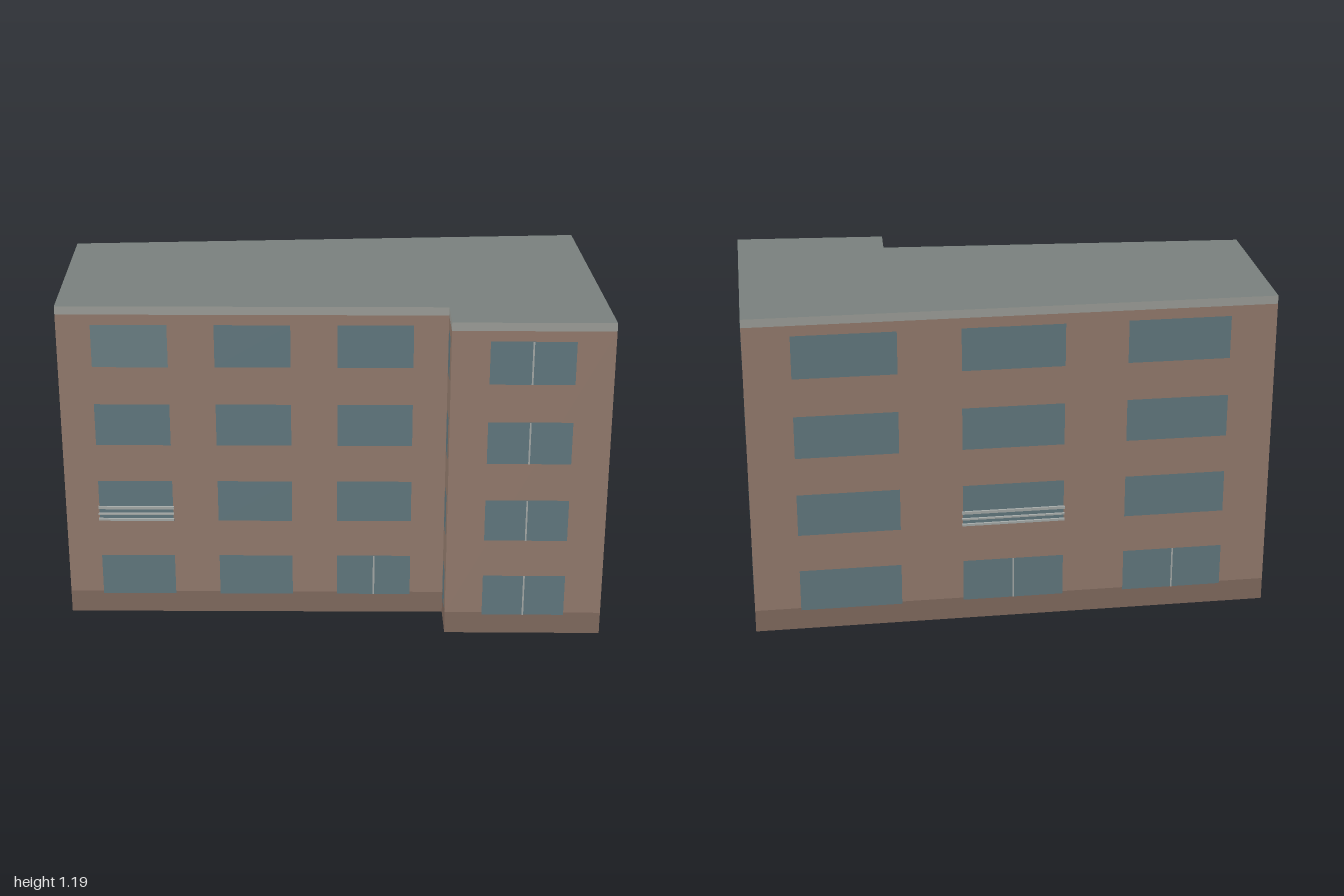
import * as THREE from 'three';

const mat = (color) => new THREE.MeshStandardMaterial({ color, side: THREE.DoubleSide });
const brick = mat(0x977e70), plinth = mat(0x846d61), coping = mat(0xa0a29c), roofing = mat(0x7b827f);
const glass = mat(0x647b82), paleGlass = mat(0x6d8287), metal = mat(0xa9aeac);

const HEIGHT = 1.19, BASE = 0.083, BAND = 1.16;
const FLOORS = 4, FLOOR_PITCH = 0.297, SILL = 0.075, WIN_H = 0.157;

// Footprint corners [x, z], counter-clockwise seen from above; each wall runs to the next corner.
// mullion(floor, column) says which windows have a centre bar, balcony is [floor, column].
const walls = [
  { name: 'frontWall', from: [-0.93, 0.465], columns: 3, mullion: (f, c) => f === 0 && c === 2, balcony: [1, 0], pale: [3, 0] },
  { name: 'recessWall', from: [0.425, 0.35], columns: 1, mullion: () => false },
  { name: 'frontWingWall', from: [0.44, 0.5], columns: 1, mullion: () => true },
  { name: 'rightWall', from: [0.995, 0.455], columns: 2, mullion: () => true },
  { name: 'backWall', from: [0.86, -0.507], columns: 3, mullion: (f, c) => f === 0 && c > 0, balcony: [1, 1] },
  { name: 'leftWall', from: [-1, -0.23], columns: 1, mullion: () => true },
];

// Upright panel in a wall's own frame: x along the wall, z outward
function panel(parent, name, material, width, y0, y1, x = 0, z = 0) {
  const mesh = new THREE.Mesh(new THREE.PlaneGeometry(width, y1 - y0), material);
  mesh.name = name;
  mesh.position.set(x, (y0 + y1) / 2, z);
  parent.add(mesh);
}

// Three slim rails across the lower part of a window
function balconyRails(parent, width, x, sill) {
  const rails = new THREE.Group();
  rails.name = 'balconyRails';
  for (const [dy, h] of [[0.006, 0.008], [0.028, 0.006], [0.053, 0.01]]) {
    const rail = new THREE.Mesh(new THREE.BoxGeometry(width, h, 0.008), metal);
    rail.name = 'rail';
    rail.position.set(x, sill + dy, 0.006);
    rails.add(rail);
  }
  parent.add(rails);
}

function buildWall(spec, to) {
  const [x0, z0] = spec.from, [x1, z1] = to;
  const length = Math.hypot(x1 - x0, z1 - z0);
  const wall = new THREE.Group();
  wall.name = spec.name;
  wall.position.set((x0 + x1) / 2, 0, (z0 + z1) / 2);
  wall.rotation.y = Math.atan2(z0 - z1, x1 - x0);

  // Plinth, brickwork and coping strip
  panel(wall, 'plinth', plinth, length, 0, BASE);
  panel(wall, 'brickwork', brick, length, BASE, BAND);
  panel(wall, 'coping', coping, length, BAND, HEIGHT);

  // Grid of windows
  const pitch = length / (spec.columns + 0.18), width = pitch * 0.62;
  const matches = (pair, f, c) => pair && pair[0] === f && pair[1] === c;
  for (let f = 0; f < FLOORS; f++) {
    const y = SILL + f * FLOOR_PITCH;
    for (let c = 0; c < spec.columns; c++) {
      const x = (c - (spec.columns - 1) / 2) * pitch;
      panel(wall, 'window', matches(spec.pale, f, c) ? paleGlass : glass, width, y, y + WIN_H, x, 0.002);
      if (spec.mullion(f, c)) panel(wall, 'mullion', metal, 0.006, y, y + WIN_H, x, 0.004);
      if (matches(spec.balcony, f, c)) balconyRails(wall, width + 0.006, x, y);
    }
  }
  return wall;
}

export function createModel() {
  const building = new THREE.Group();
  building.name = 'apartmentBlock';
  walls.forEach((spec, i) => building.add(buildWall(spec, walls[(i + 1) % walls.length].from)));

  // Flat roof over the footprint; the underside of the block stays open
  const outline = new THREE.Shape(walls.map(({ from: [x, z] }) => new THREE.Vector2(x, -z)));
  const roof = new THREE.Mesh(new THREE.ShapeGeometry(outline).rotateX(-Math.PI / 2), roofing);
  roof.name = 'roof';
  roof.position.y = HEIGHT;
  building.add(roof);
  return building;
}
